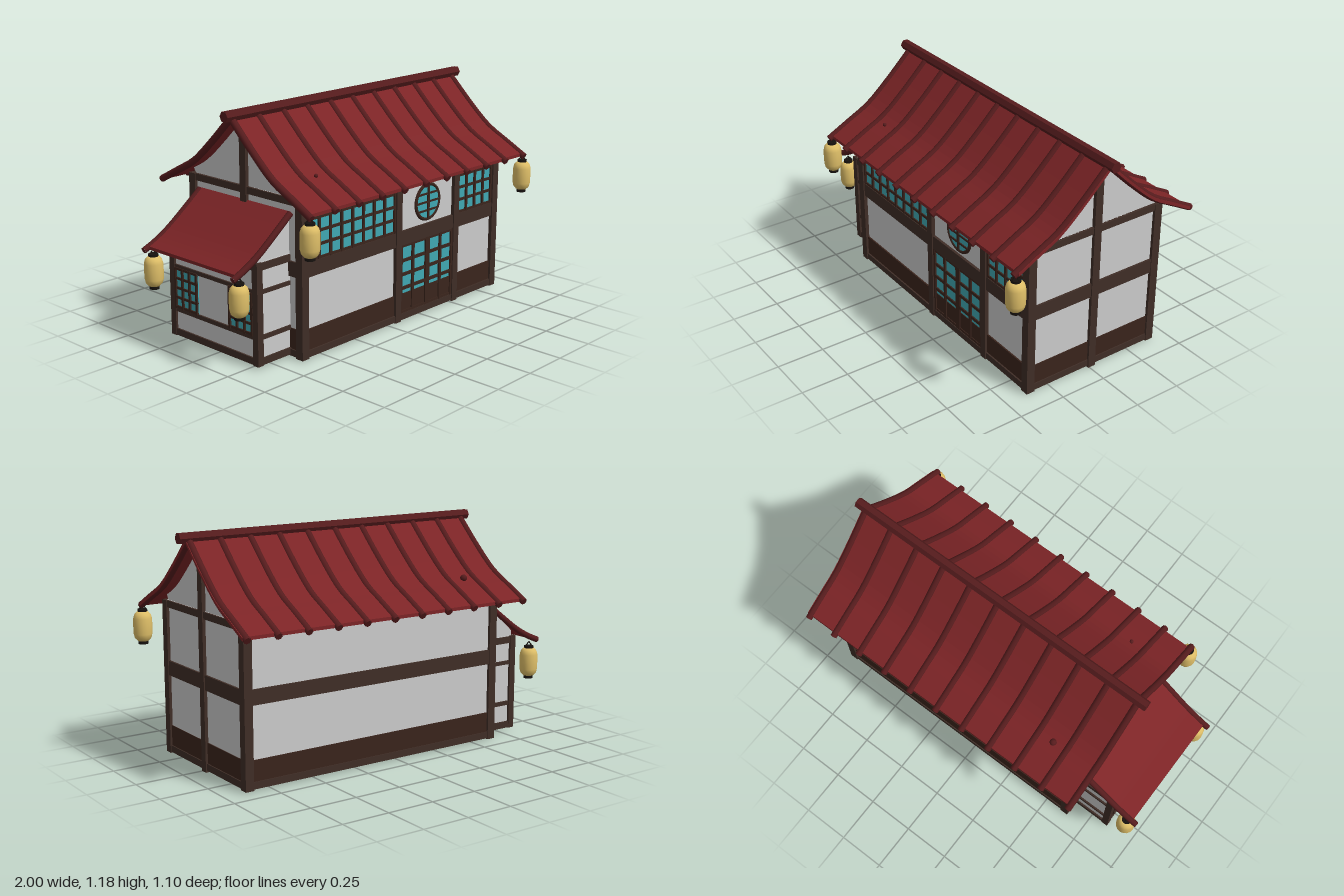
import * as THREE from 'three';
import { mergeGeometries } from 'three/addons/utils/BufferGeometryUtils.js';

const mat = (color, opts = {}) => new THREE.MeshStandardMaterial({ color, ...opts });
const PLASTER = mat(0xcccccc), WOOD = mat(0x3f2d26), DARK = mat(0x3a241c), GLASS = mat(0x40a8b2);
const ROOF = mat(0x7c2426), RIB = mat(0x561c1d), RIDGE = mat(0x561c1d, { flatShading: true });
const PAPER = mat(0xdfbf68), BLACK = mat(0x17120f);
const ZC = -0.015; // depth of the ridge line

export function createModel() {
  const root = new THREE.Group();
  root.name = 'timberHouse';

  const add = (name, geo, material, parent = root) => {
    const m = new THREE.Mesh(geo, material);
    m.name = name;
    parent.add(m);
    return m;
  };
  // box given by its limits on each axis
  const box = (name, material, x0, x1, y0, y1, z0, z1, parent) =>
    add(name, new THREE.BoxGeometry(x1 - x0, y1 - y0, z1 - z0)
      .translate((x0 + x1) / 2, (y0 + y1) / 2, (z0 + z1) / 2), material, parent);
  // round rod along a curve, closed at both ends
  const rodGeo = (points, r, seg = 14, sides = 8) => {
    const curve = new THREE.CatmullRomCurve3(points);
    const parts = [new THREE.TubeGeometry(curve, seg, r, sides)];
    for (const t of [0, 1]) {
      const dir = curve.getTangent(t).multiplyScalar(t ? 1 : -1);
      const q = new THREE.Quaternion().setFromUnitVectors(new THREE.Vector3(0, 0, 1), dir);
      const p = curve.getPoint(t);
      parts.push(new THREE.CircleGeometry(r, sides).applyQuaternion(q).translate(p.x, p.y, p.z));
    }
    return mergeGeometries(parts);
  };
  const extrude = (pts, depth) => new THREE.ExtrudeGeometry(
    new THREE.Shape(pts.map(p => new THREE.Vector2(p[0], p[1]))), { depth, bevelEnabled: false });
  // (z, y) outline swept from x0 to x1
  const alongX = (pts, x0, x1) => extrude(pts, x1 - x0).rotateY(-Math.PI / 2).translate(x1, 0, 0);

  // ---- main walls ----
  const [L, R, B, F] = [-0.64, 0.89, -0.415, 0.385];
  box('mainWalls', PLASTER, L + 0.015, R - 0.015, 0.012, 0.8, B + 0.015, F - 0.02);
  box('basePlinth', DARK, L + 0.01, R - 0.01, 0.01, 0.15, B + 0.01, F - 0.012);
  for (const x of [L, R - 0.045])
    for (const z of [B, F - 0.045]) box('cornerPost', WOOD, x, x + 0.045, 0.005, 0.8, z, z + 0.045);
  const bands = [['sill', 0.01, 0.045], ['middleBeam', 0.415, 0.49], ['topBeam', 0.765, 0.8]];
  for (const [name, y0, y1] of bands) {
    box(name + 'Back', WOOD, L + 0.04, R - 0.04, y0, y1, B + 0.004, B + 0.03);
    box(name + 'Front', WOOD, L + 0.04, R - 0.04, y0, y1, F - 0.03, name === 'middleBeam' ? F - 0.006 : F - 0.004);
    for (const x of [L + 0.004, R - 0.03])
      box(name + 'Side', WOOD, x, x + 0.026, y0, y1, B + 0.04, F - 0.04);
  }
  for (const x of [0.04, 0.505]) box('frontPost', WOOD, x, x + 0.042, 0.005, 0.8, F - 0.04, F);
  for (const x of [L - 0.002, R - 0.038])
    box('gablePost', WOOD, x, x + 0.04, 0, 1.13, ZC - 0.02, ZC + 0.022);

  // ---- curved roof ----
  const half = [[0, 1.145], [0.15, 1.0], [0.28, 0.89], [0.4, 0.825], [0.53, 0.756]];
  const sag = new THREE.SplineCurve(half.map(p => new THREE.Vector2(...p))).getPoints(14);
  const cut = sag.filter(p => p.x < 0.5).map(p => [p.x, p.y]).concat([[0.513, 0.765]]);
  const sheet = [...cut.map(p => [p[0], p[1] + 0.007]), ...cut.map(p => [p[0], p[1] - 0.01]).reverse()];
  const gable = cut.filter(p => p[0] < 0.39).map(p => [p[0], p[1] - 0.008]);
  for (const s of [1, -1]) {
    const side = s > 0 ? 'Front' : 'Back';
    add('roofSheet' + side, alongX(sheet.map(p => [ZC + s * p[0], p[1]]), -0.72, 0.962), ROOF);
    for (let i = 0; i < 11; i++) {
      const x = -0.707 + i * 0.165;
      add('roofRib' + side, rodGeo(half.map(p => new THREE.Vector3(x, p[1], ZC + s * p[0])), 0.018), RIB);
    }
  }
  add('gableWalls', alongX([...gable.map(p => [ZC + p[0], p[1]]), [ZC + 0.36, 0.79], [ZC - 0.36, 0.79],
    ...gable.slice(1).reverse().map(p => [ZC - p[0], p[1]])], L + 0.018, R - 0.018), PLASTER);
  add('roofRidge', new THREE.CylinderGeometry(0.028, 0.028, 1.755, 6).rotateZ(Math.PI / 2)
    .translate(0.12, 1.157, ZC + 0.005), RIDGE);
  for (const [y, z, r] of [[0.876, -0.345, 0.018], [0.877, 0.31, 0.01]])
    add('roofKnob', new THREE.SphereGeometry(r, 10, 8).translate(-0.467, y, z), RIB);

  // ---- lattice windows; xs and ys are the bar centres, drawn facing +z ----
  const lattice = (name, w0, w1, h0, h1, xs, ys, bar = 0.014) => {
    const g = new THREE.Group();
    g.name = name;
    root.add(g);
    box('glass', GLASS, w0, w1, h0, h1, -0.006, 0.003, g);
    for (const x of xs) box('uprightBar', DARK, x - bar / 2, x + bar / 2, h0, h1, 0, 0.012, g);
    for (const y of ys) box('crossBar', DARK, w0, w1, y - bar / 2, y + bar / 2, 0, 0.01, g);
    return g;
  };
  const spread = (a, b, n) => Array.from({ length: n + 1 }, (_, i) => a + (b - a) * i / n);
  const zw = F - 0.02;
  lattice('wideWindow', -0.6, 0.045, 0.485, 0.77, spread(-0.59, 0.036, 8), spread(0.495, 0.765, 4)).position.z = zw;
  lattice('smallWindow', 0.54, 0.845, 0.485, 0.77, spread(0.55, 0.838, 4), spread(0.495, 0.765, 4)).position.z = zw;
  lattice('slidingDoor', 0.08, 0.507, 0.04, 0.418, [0.088, 0.182, 0.29, 0.306, 0.404, 0.5],
    [0.05, 0.18, 0.255, 0.33, 0.411], 0.017).position.z = zw + 0.002;

  // round window
  const round = new THREE.Group();
  round.name = 'roundWindow';
  round.position.set(0.302, 0.605, zw);
  root.add(round);
  add('roundGlass', new THREE.CylinderGeometry(0.095, 0.095, 0.01, 32).rotateX(Math.PI / 2), GLASS, round);
  add('roundFrame', new THREE.TorusGeometry(0.093, 0.01, 8, 36), DARK, round);
  box('roundUpright', DARK, -0.007, 0.007, -0.09, 0.09, 0, 0.012, round);
  for (const y of [-0.045, 0, 0.045]) {
    const w = Math.sqrt(0.092 ** 2 - y * y);
    box('roundCrossBar', DARK, -w, w, y - 0.005, y + 0.005, 0, 0.01, round);
  }

  // ---- side annex ----
  const [AL, AB, AF] = [-0.85, -0.335, 0.3];
  const lean = [[-1.0, 0.485], [-0.93, 0.515], [-0.85, 0.56], [-0.74, 0.64], [-0.63, 0.725]];
  box('annexWalls', PLASTER, AL + 0.012, L + 0.02, 0.02, 0.525, AB + 0.012, AF - 0.012);
  add('annexGable', extrude([[AL + 0.02, 0.52], [L + 0.02, 0.52], [L + 0.02, 0.7], [-0.74, 0.632], [AL + 0.02, 0.553]],
    AF - AB - 0.03).translate(0, 0, AB + 0.015), PLASTER);
  box('annexFloor', DARK, AL + 0.008, L + 0.02, 0.015, 0.045, AB + 0.008, AF - 0.008);
  for (const z of [AB, AF - 0.036]) box('annexPost', WOOD, AL, AL + 0.036, 0.013, 0.525, z, z + 0.036);
  for (const [y0, y1] of [[0.015, 0.05], [0.143, 0.165], [0.37, 0.39], [0.487, 0.522]]) {
    for (const z of [AB + 0.003, AF - 0.023]) box('annexRail', WOOD, AL + 0.03, L + 0.01, y0, y1, z, z + 0.02);
    box('annexEndRail', WOOD, AL + 0.003, AL + 0.023, y0, y1, AB + 0.03, AF - 0.03);
  }
  for (const z of [-0.215, 0.18]) {
    const w = lattice('annexWindow', -0.085, 0.085, 0.16, 0.375, spread(-0.078, 0.078, 3), spread(0.17, 0.37, 4), 0.012);
    w.rotation.y = -Math.PI / 2;
    w.position.set(AL + 0.009, 0, z);
  }
  const slope = new THREE.SplineCurve(lean.map(p => new THREE.Vector2(...p))).getPoints(12)
    .map(p => [Math.max(p.x, -0.975), p.x < -0.975 ? 0.495 : p.y]);
  add('annexRoof', extrude([...slope.map(p => [p[0], p[1] - 0.008]),
    ...slope.map(p => [p[0], p[1] + 0.008]).reverse()], 0.645).translate(0, 0, -0.345), ROOF);
  for (const z of [-0.342, 0.3])
    add('annexRoofRib', rodGeo(lean.map(p => new THREE.Vector3(p[0], p[1], z)), 0.016), RIB);

  // ---- paper lanterns, hung from their top point ----
  const profile = [[0, -0.182], [0.028, -0.182], [0.042, -0.167], [0.0475, -0.145], [0.0485, -0.105],
    [0.0475, -0.065], [0.042, -0.045], [0.028, -0.03], [0, -0.03]].map(p => new THREE.Vector2(...p));
  for (const [x, y, z] of [[-0.705, 0.755, 0.502], [0.945, 0.755, 0.502], [-0.945, 0.475, 0.28], [-0.945, 0.475, -0.34]]) {
    const g = new THREE.Group();
    g.name = 'lantern';
    g.position.set(x, y, z);
    root.add(g);
    add('lanternPaper', new THREE.LatheGeometry(profile, 16), PAPER, g);
    for (const cy of [-0.189, -0.027])
      add('lanternCap', new THREE.CylinderGeometry(0.025, 0.025, 0.018, 16).translate(0, cy, 0), BLACK, g);
    for (const [dx, dz] of [[1, 0], [-1, 0], [0, 1], [0, -1]])
      add('lanternWire', rodGeo([new THREE.Vector3(0, 0.005, 0),
        new THREE.Vector3(dx * 0.023, -0.02, dz * 0.023)], 0.0025, 1, 5), BLACK, g);
  }
  return root;
}
